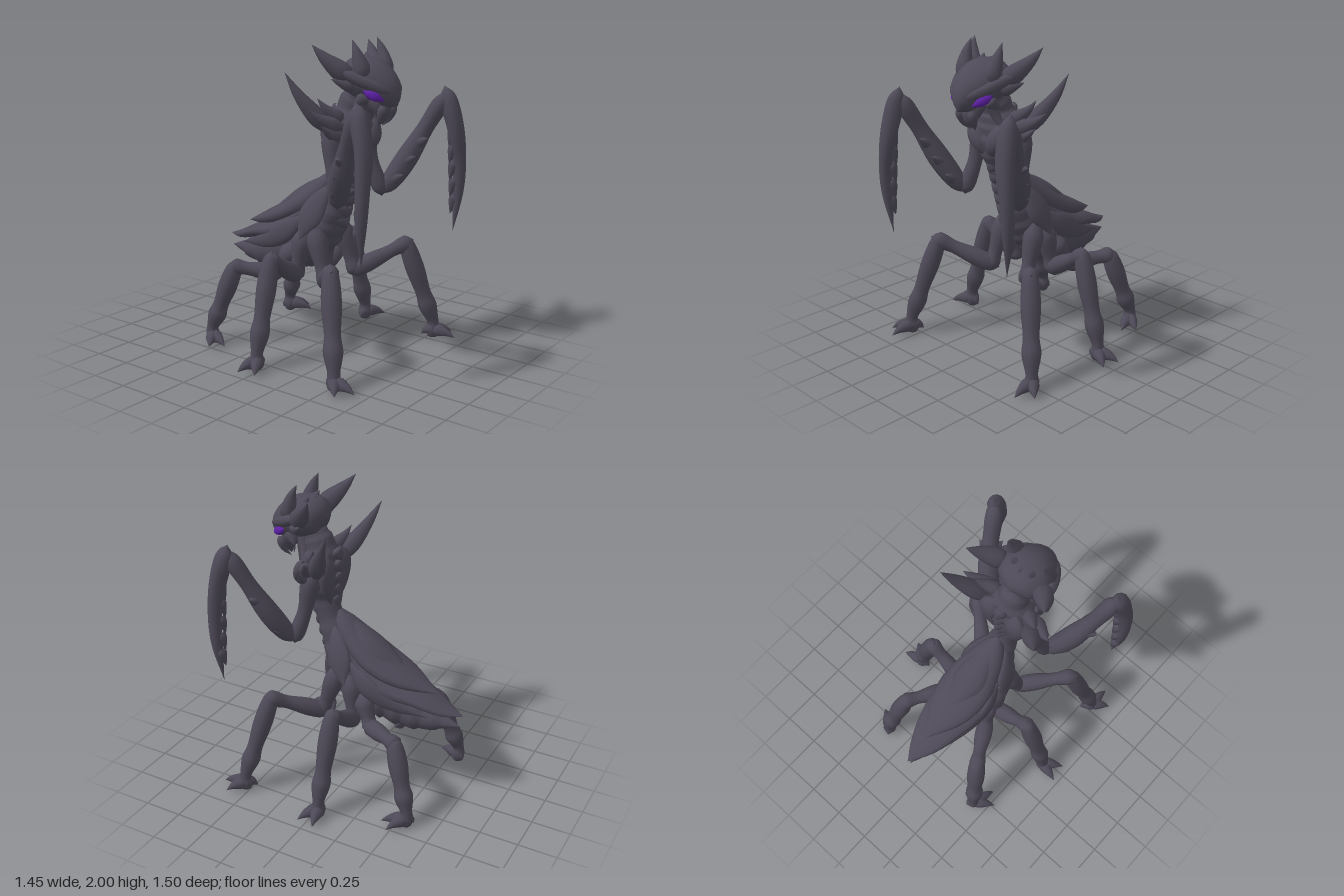
import * as THREE from 'three';

const chitin = new THREE.MeshStandardMaterial({ color: 0x4d4957 });
chitin.name = 'dark chitin';
const glow = new THREE.MeshStandardMaterial({ color: 0x5c20a4 });
glow.name = 'violet eye';

// Smooth body through knots [x, y, z, half width, half depth]; plates adds overlapping rings
function loft(knots, { ref = [1, 0, 0], sides = 12, plates = 0, swell = 0.1 } = {}) {
  const path = new THREE.CatmullRomCurve3(knots.map(k => new THREE.Vector3(k[0], k[1], k[2])), false, 'catmullrom');
  const size = new THREE.CatmullRomCurve3(knots.map(k => new THREE.Vector3(k[3], k[4] ?? k[3], 0)), false, 'catmullrom');
  const steps = plates ? plates * 5 : (knots.length - 1) * 5;
  const pos = [], index = [];
  const p = new THREE.Vector3(), r = new THREE.Vector3(), t = new THREE.Vector3();
  const s = new THREE.Vector3(), u = new THREE.Vector3();
  for (let i = 0; i <= steps; i++) {
    const f = i / steps;
    path.getPoint(f, p);
    path.getTangent(f, t);
    size.getPoint(f, r);
    s.set(...ref);
    s.addScaledVector(t, -s.dot(t)).normalize();
    u.crossVectors(t, s);
    const k = plates ? 1 + swell * ((i % 5) / 4 - 0.5) : 1;
    const a = Math.max(0, r.x) * k, b = Math.max(0, r.y) * k;
    for (let j = 0; j < sides; j++) {
      const ang = j / sides * Math.PI * 2, c = Math.cos(ang) * a, d = Math.sin(ang) * b;
      pos.push(p.x + s.x * c + u.x * d, p.y + s.y * c + u.y * d, p.z + s.z * c + u.z * d);
      if (i < steps) {
        const n = (j + 1) % sides, q = i * sides;
        index.push(q + j, q + n, q + sides + n, q + j, q + sides + n, q + sides + j);
      }
    }
  }
  const g = new THREE.BufferGeometry();
  g.setAttribute('position', new THREE.Float32BufferAttribute(pos, 3));
  g.setIndex(index);
  g.computeVertexNormals();
  return g;
}

function add(parent, name, knots, options, material = chitin) {
  const mesh = new THREE.Mesh(loft(knots, options), material);
  mesh.name = name;
  parent.add(mesh);
}

const mix = (a, b, f) => a.map((v, i) => v + (b[i] - v) * f);
const Z = { ref: [0, 0, 1], sides: 10 };

// Curved thorn from base to tip, bowed by an offset
function thorn(parent, name, base, tip, r, bow = [0, 0, 0]) {
  const at = f => mix(base, tip, f).map((v, i) => v + bow[i] * Math.sin(f * Math.PI));
  const dir = new THREE.Vector3(...tip).sub(new THREE.Vector3(...base)).normalize();
  const ref = Math.abs(dir.z) > 0.8 ? [1, 0, 0] : [0, 0, 1];
  add(parent, name, [[...base, r * 0.7], [...at(0.25), r], [...at(0.65), r * 0.58], [...tip, 0]], { ref, sides: 8 });
}

// Walking leg: hanging coxa, raised thigh, long shin and clawed foot
function leg(parent, name, hip, low, knee, ankle, toes) {
  const g = new THREE.Group();
  g.name = name;
  const end = (p, q, d) => mix(p, q, 1 + d);
  add(g, 'coxa', [[...hip, 0.03], [...mix(hip, low, 0.3), 0.066], [...mix(hip, low, 0.75), 0.046],
    [...low, 0.05], [...end(hip, low, 0.12), 0]], Z);
  add(g, 'thigh', [[...end(knee, low, 0.14), 0], [...low, 0.05], [...mix(low, knee, 0.3), 0.058],
    [...mix(low, knee, 0.7), 0.043], [...knee, 0.052], [...end(low, knee, 0.14), 0]], Z);
  add(g, 'shin', [[...end(ankle, knee, 0.1), 0], [...knee, 0.047], [...mix(knee, ankle, 0.3), 0.062],
    [...mix(knee, ankle, 0.62), 0.05], [...mix(knee, ankle, 0.8), 0.06], [...ankle, 0.038],
    [ankle[0], 0.05, ankle[2], 0.046], [ankle[0], 0.004, ankle[2], 0.03], [ankle[0], 0.002, ankle[2], 0]], Z);
  const spur = mix(knee, ankle, 0.72);
  thorn(g, 'shinSpur', spur, [spur[0] * 1.09, spur[1] - 0.12, spur[2]], 0.035);
  for (const tip of toes) thorn(g, 'toe', [ankle[0], 0.046, ankle[2]], tip, 0.042, [0, 0.016, 0]);
  parent.add(g);
}

export function createModel() {
  const root = new THREE.Group();
  root.name = 'mantisCreature';

  // Trunk and abdomen
  add(root, 'torso', [[0, 0.62, 0, 0.03], [0, 0.72, 0.04, 0.11, 0.1], [0, 0.85, 0.09, 0.135, 0.11],
    [0, 1.0, 0.15, 0.1, 0.095], [0, 1.2, 0.225, 0.08, 0.09], [0, 1.35, 0.25, 0.13, 0.125],
    [0, 1.47, 0.25, 0.17, 0.12], [0, 1.58, 0.26, 0.1, 0.1], [0, 1.68, 0.3, 0.07], [0, 1.74, 0.33, 0]],
    { sides: 18, plates: 13, swell: 0.1 });
  add(root, 'abdomen', [[0, 0.82, 0.08, 0.08], [0, 0.68, -0.05, 0.125], [0, 0.62, -0.25, 0.13, 0.145],
    [0, 0.565, -0.48, 0.105, 0.095], [0, 0.55, -0.735, 0]], { sides: 18, plates: 8, swell: 0.14 });
  // Layered back plates
  add(root, 'lowerBackPlate', [[0, 0.98, 0.04, 0.1, 0.05], [0, 0.78, -0.2, 0.185, 0.075],
    [0, 0.71, -0.45, 0.145, 0.05], [0, 0.65, -0.62, 0.083, 0.03], [0, 0.63, -0.748, 0]], { sides: 18 });
  add(root, 'upperBackPlate', [[0, 1.17, 0.13, 0.02], [0, 1.1, 0.09, 0.075, 0.06], [0, 1.0, 0, 0.125, 0.085],
    [0, 0.89, -0.16, 0.165, 0.08], [0, 0.81, -0.36, 0.135, 0.055], [0, 0.745, -0.585, 0]], { sides: 18 });
  add(root, 'innerBackPlate', [[0, 1.13, 0.08, 0.02], [0, 1.02, -0.02, 0.09, 0.075],
    [0, 0.92, -0.17, 0.11, 0.075], [0, 0.85, -0.38, 0, 0]], { sides: 14 });
  for (let i = 0; i < 5; i++) {
    const y = 1.2 + i * 0.08, z = 0.15 - 0.01 * Math.min(i, 2);
    thorn(root, 'spineThorn', [0, y + 0.05, z + 0.03], [0, y - 0.01, z - 0.03], 0.045);
  }
  // Chevron belly plates
  for (let i = 0; i < 6; i++) {
    const y = 0.84 + i * 0.075, z = 0.195 + i * 0.023, w = 0.1 - i * 0.008;
    add(root, 'bellyPlate', [[-w, y + 0.06, z - 0.05, 0], [-w / 2, y + 0.035, z - 0.01, 0.026, 0.02],
      [0, y, z + 0.01, 0.03, 0.02], [w / 2, y + 0.035, z - 0.01, 0.026, 0.02], [w, y + 0.06, z - 0.05, 0]],
      { ref: [0, 1, 0], sides: 8 });
  }

  // Head
  const head = new THREE.Group();
  head.name = 'head';
  root.add(head);
  add(head, 'skull', [[0, 1.77, 0.2, 0], [0, 1.775, 0.25, 0.12, 0.1], [0, 1.765, 0.36, 0.17, 0.13],
    [0, 1.72, 0.46, 0.135, 0.115], [0, 1.65, 0.54, 0.07, 0.07], [0, 1.61, 0.58, 0]], { sides: 18 });
  add(head, 'jaw', [[0, 1.7, 0.4, 0.08, 0.06], [0, 1.62, 0.46, 0.085, 0.06], [0, 1.55, 0.48, 0.05, 0.04],
    [0, 1.49, 0.47, 0]]);
  thorn(head, 'centreCrest', [0, 1.82, 0.36], [0, 1.9, 0.28], 0.05);

  for (const m of [1, -1]) {
    const P = (x, y, z) => [m * x, y, z];
    const K = knots => knots.map(([x, ...rest]) => [m * x, ...rest]);
    const side = new THREE.Group();
    side.name = m > 0 ? 'leftSide' : 'rightSide';
    root.add(side);

    // Eyes, brows, horns and mandibles
    add(side, 'eye', K([[0.075, 1.645, 0.54, 0], [0.108, 1.667, 0.505, 0.025, 0.02],
      [0.13, 1.686, 0.465, 0.024, 0.018], [0.145, 1.705, 0.43, 0]]), { ref: [0, 1, 0], sides: 10 }, glow);
    add(side, 'brow', K([[0.015, 1.67, 0.57, 0], [0.07, 1.705, 0.535, 0.026], [0.13, 1.745, 0.46, 0.034],
      [0.175, 1.785, 0.37, 0.034], [0.23, 1.83, 0.29, 0]]), { ref: [0, 1, 0], sides: 8 });
    thorn(side, 'frontHorn', P(0.11, 1.77, 0.42), P(0.13, 2.0, 0.34), 0.052, [m * 0.01, 0, 0.01]);
    thorn(side, 'rearHorn', P(0.13, 1.77, 0.34), P(0.292, 1.97, 0.167), 0.062, [m * 0.012, -0.01, 0]);
    thorn(side, 'crestThorn', P(0.055, 1.81, 0.36), P(0.065, 1.91, 0.3), 0.045);
    thorn(side, 'cheekThorn', P(0.13, 1.72, 0.36), P(0.24, 1.77, 0.27), 0.042);
    thorn(side, 'lowerCheekThorn', P(0.09, 1.67, 0.42), P(0.14, 1.61, 0.36), 0.042);
    thorn(side, 'mandible', P(0.045, 1.61, 0.51), P(0.02, 1.48, 0.46), 0.03, [m * 0.02, 0, 0.015]);

    // Shoulder thorns and chest plates
    thorn(side, 'largeShoulderThorn', P(0.16, 1.46, 0.2), P(0.355, 1.805, 0.015), 0.056, [m * 0.022, -0.015, 0]);
    thorn(side, 'outerShoulderThorn', P(0.14, 1.47, 0.27), P(0.335, 1.59, 0.18), 0.05, [m * 0.01, -0.015, 0]);
    thorn(side, 'lowerShoulderThorn', P(0.14, 1.42, 0.27), P(0.3, 1.5, 0.24), 0.045, [0, -0.02, 0]);
    thorn(side, 'collarThorn', P(0.1, 1.52, 0.26), P(0.24, 1.65, 0.17), 0.045, [m * 0.01, -0.02, 0]);
    thorn(side, 'ribThorn', P(0.1, 1.38, 0.24), P(0.23, 1.37, 0.2), 0.05);
    add(side, 'chestPlate', K([[0.15, 1.52, 0.3, 0], [0.11, 1.46, 0.335, 0.06, 0.04],
      [0.06, 1.37, 0.36, 0.055, 0.035], [0, 1.26, 0.325, 0]]));
    add(side, 'neckCord', K([[0.1, 1.5, 0.32, 0.02], [0.06, 1.57, 0.34, 0.03], [0.04, 1.66, 0.38, 0.03]]));
    add(side, 'shoulderBlade', K([[0.05, 1.58, 0.19, 0], [0.1, 1.48, 0.16, 0.07, 0.04],
      [0.09, 1.34, 0.16, 0.055, 0.035], [0.04, 1.2, 0.16, 0]]));

    // Hip plates beside the back shell
    add(side, 'hipPlate', K([[0.06, 1.1, 0.14, 0], [0.105, 1.0, 0.09, 0.03, 0.06],
      [0.155, 0.88, 0.04, 0.03, 0.08], [0.2, 0.74, -0.01, 0]]));
    add(side, 'flankPlate', K([[0.12, 0.88, -0.02, 0.02], [0.165, 0.77, -0.15, 0.03, 0.07],
      [0.15, 0.68, -0.32, 0.025, 0.05], [0.1, 0.62, -0.56, 0]]));

    // Raptorial arm
    const arm = new THREE.Group();
    arm.name = 'scytheArm';
    side.add(arm);
    add(arm, 'upperArm', K([[0.14, 1.49, 0.23, 0.02], [0.18, 1.41, 0.23, 0.06], [0.2, 1.22, 0.26, 0.046],
      [0.23, 1.05, 0.31, 0.05], [0.24, 0.99, 0.32, 0]]), Z);
    add(arm, 'forearm', K([[0.21, 1.01, 0.31, 0], [0.27, 1.07, 0.35, 0.056], [0.35, 1.23, 0.43, 0.07],
      [0.415, 1.42, 0.52, 0.052], [0.46, 1.58, 0.6, 0.052], [0.48, 1.66, 0.62, 0]]), Z);
    for (let i = 0; i < 3; i++) {
      const b = mix([0.28, 1.09, 0.36], [0.38, 1.32, 0.47], i / 2);
      thorn(arm, 'forearmThorn', P(...b), P(b[0] + 0.1, b[1] + 0.03, b[2] + 0.015), 0.045);
      thorn(arm, 'elbowThorn', P(...b), P(b[0] - 0.02, b[1] + 0.05, b[2] + 0.105), 0.045);
    }
    add(arm, 'blade', K([[0.48, 1.69, 0.615, 0], [0.485, 1.61, 0.64, 0.05, 0.055], [0.505, 1.42, 0.69, 0.06, 0.05],
      [0.535, 1.2, 0.705, 0.043, 0.042], [0.537, 1.0, 0.698, 0.032, 0.034], [0.51, 0.76, 0.685, 0]]));
    for (let i = 0; i < 5; i++) {
      const y = 1.44 - i * 0.11, x = 0.48 + i * 0.01;
      thorn(arm, 'bladeTooth', P(x + 0.015, y, 0.68), P(x - 0.008, y - 0.13, 0.66), 0.032);
    }

    // Three walking legs
    leg(side, 'frontLeg', P(0.13, 0.84, 0.06), P(0.16, 0.495, 0.17), P(0.415, 0.655, 0.4), P(0.555, 0.11, 0.53),
      [P(0.665, 0.018, 0.615), P(0.57, 0.018, 0.69), P(0.51, 0.018, 0.47)]);
    leg(side, 'middleLeg', P(0.12, 0.8, -0.02), P(0.16, 0.495, -0.06), P(0.425, 0.655, -0.05), P(0.58, 0.11, -0.035),
      [P(0.725, 0.018, -0.07), P(0.705, 0.018, 0.05), P(0.52, 0.018, -0.03)]);
    leg(side, 'backLeg', P(0.12, 0.68, -0.1), P(0.18, 0.49, -0.19), P(0.325, 0.52, -0.435), P(0.405, 0.11, -0.565),
      [P(0.46, 0.018, -0.415), P(0.53, 0.018, -0.485), P(0.38, 0.018, -0.61)]);
  }
  return root;
}
